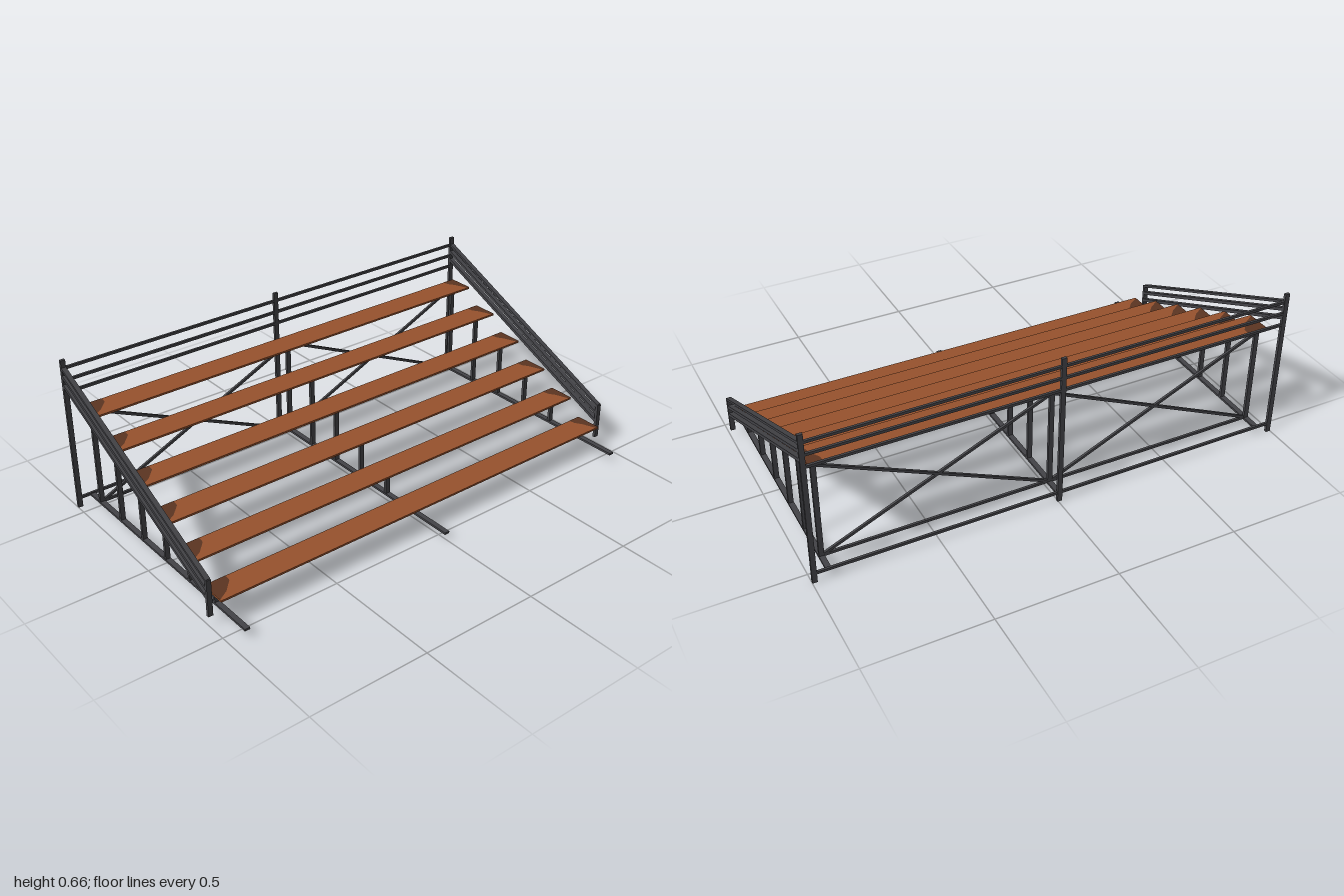
import * as THREE from 'three';

export function createModel() {
  const model = new THREE.Group();
  model.name = 'bleachers';

  const metal = new THREE.MeshStandardMaterial({ color: 0x434347 });
  metal.name = 'dark steel';
  const wood = new THREE.MeshStandardMaterial({ color: 0x97522d });
  wood.name = 'brown wood';
  const worn = new THREE.MeshStandardMaterial({ color: 0x5c3521 });
  worn.name = 'worn wood';

  function box(name, mat, w, h, d, x, y, z, parent = model) {
    const mesh = new THREE.Mesh(new THREE.BoxGeometry(w, h, d), mat);
    mesh.name = name;
    mesh.position.set(x, y, z);
    parent.add(mesh);
    return mesh;
  }

  // Square bar between two points; w is the width, t the thickness
  function bar(name, a, b, w, t) {
    const from = new THREE.Vector3(...a), to = new THREE.Vector3(...b);
    const mesh = box(name, metal, w, t, from.distanceTo(to), 0, 0, 0);
    mesh.position.copy(from).add(to).multiplyScalar(0.5);
    mesh.lookAt(to);
    return mesh;
  }

  const backZ = -0.547, frontZ = 0.408, floorY = 0.037;
  const frames = [-0.93, -0.004, 0.933];
  const rows = 6, stepZ = 0.1653, stepY = 0.073;

  // Worn ends of a plank, as thin plates seen from above (x, z offsets)
  const wornEnds = [
    [[-0.96, -0.056], [-0.868, -0.056], [-0.872, -0.025], [-0.915, 0.022], [-0.96, 0.05]],
    [[0.96, -0.056], [0.903, -0.056], [0.907, -0.028], [0.925, 0], [0.936, 0.03], [0.945, 0.056], [0.96, 0.056]],
  ];

  // Seat planks rising toward the back
  for (let i = 0; i < rows; i++) {
    const y = 0.108 + i * stepY, z = 0.39 - i * stepZ;
    const row = new THREE.Group();
    row.name = 'seatRow';
    row.position.set(-0.004, y, z);
    model.add(row);
    box('seatPlank', wood, 1.92, 0.008, 0.113, 0, 0, 0, row);
    for (const points of wornEnds) {
      const shape = new THREE.Shape(points.map(([px, pz]) => new THREE.Vector2(px, -pz)));
      const plate = new THREE.Mesh(new THREE.ShapeGeometry(shape), worn);
      plate.name = 'wornPlankEnd';
      plate.rotation.x = -Math.PI / 2;
      plate.position.y = 0.005;
      row.add(plate);
    }
    // Uprights carrying the plank
    for (const x of frames) {
      const h = y - 0.004 - floorY;
      box('seatPost', metal, 0.02, h, 0.012, x, floorY + h / 2, z - 0.033);
    }
  }

  // Floor runners
  for (const x of frames) box('floorRunner', metal, 0.022, 0.009, 1.1, x, floorY, 0.002);

  // Back posts and rails
  for (const x of [-0.99, -0.006, 0.99]) box('backPost', metal, 0.02, 0.66, 0.012, x, 0.33, backZ);
  for (const y of [floorY + 0.004, 0.52, 0.572, 0.624]) {
    box('backRail', metal, 1.98, 0.011, 0.01, 0, y, backZ);
  }

  // Cross bracing between the tallest uprights
  const braceZ = -0.469;
  box('braceRail', metal, 1.863, 0.011, 0.01, 0, floorY + 0.004, braceZ);
  for (let i = 0; i < 2; i++) {
    const l = frames[i], r = frames[i + 1];
    bar('crossBrace', [l, 0.04, braceZ], [r, 0.457, braceZ], 0.01, 0.011);
    bar('crossBrace', [l, 0.457, braceZ], [r, 0.04, braceZ], 0.01, 0.011);
  }

  // Sloping side railings
  for (const side of [-1, 1]) {
    const x = side * 0.99;
    box('railingFrontPost', metal, 0.02, 0.155, 0.012, x, 0.115, frontZ);
    for (const [y0, y1, t] of [[0.115, 0.553, 0.013], [0.153, 0.592, 0.013], [0.19, 0.626, 0.01]]) {
      bar('sideRail', [x, y0, frontZ], [x, y1, backZ], 0.02, t);
    }
  }

  return model;
}
